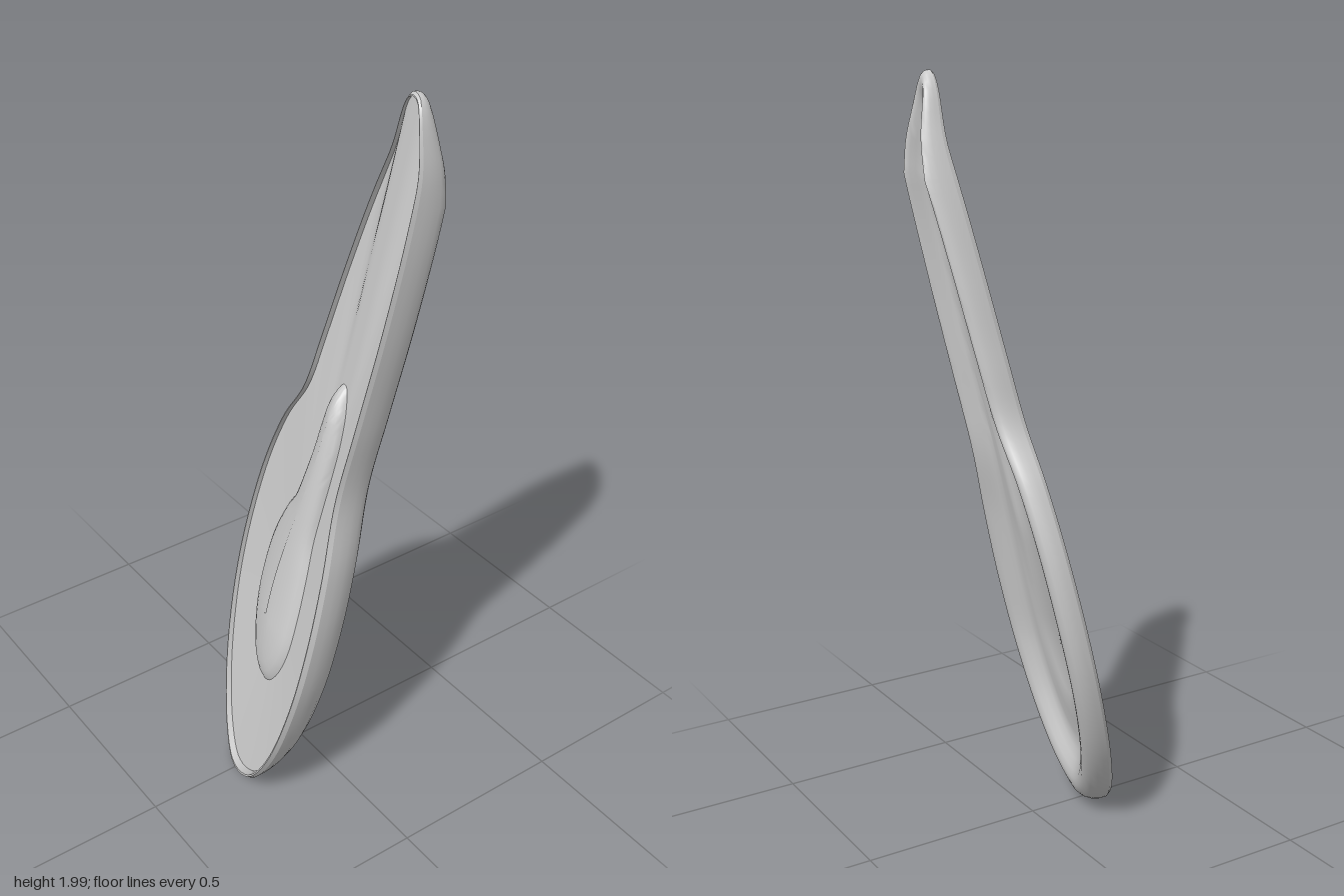
import * as THREE from 'three';
import { toCreasedNormals } from 'three/addons/utils/BufferGeometryUtils.js';

const SEGMENTS = 132;
const { clamp, lerp, smoothstep } = THREE.MathUtils;

// Pear outlines as [z, y], counter-clockwise seen from +x, starting at the bottom
const OUTER = [
  [-0.02, 0.005], [-0.12, 0.07], [-0.22, 0.24], [-0.275, 0.5], [-0.25, 0.8], [-0.18, 1.0],
  [-0.09, 1.14], [-0.05, 1.3], [-0.005, 1.5], [0.05, 1.7], [0.11, 1.86], [0.17, 1.99],
  [0.22, 1.99], [0.265, 1.87], [0.28, 1.7], [0.275, 1.45], [0.255, 1.2], [0.24, 1.0],
  [0.27, 0.8], [0.28, 0.6], [0.262, 0.4], [0.2, 0.19], [0.1, 0.05],
];
const BULGE = [
  [-0.01, 0.31], [-0.06, 0.34], [-0.11, 0.43], [-0.13, 0.54], [-0.115, 0.68], [-0.07, 0.79],
  [-0.02, 0.87], [0.005, 0.95], [0.025, 1.03], [0.04, 1.12], [0.06, 1.19], [0.09, 1.23],
  [0.11, 1.23], [0.135, 1.18], [0.145, 1.1], [0.14, 1.0], [0.13, 0.9], [0.122, 0.8],
  [0.128, 0.7], [0.13, 0.58], [0.12, 0.46], [0.085, 0.37], [0.04, 0.32],
];

function sample(points) {
  const curve = new THREE.CatmullRomCurve3(
    points.map(([z, y]) => new THREE.Vector3(0, y, z)), true, 'centripetal');
  return Array.from({ length: SEGMENTS }, (_, i) => curve.getPoint(i / SEGMENTS));
}

// Centre line of the pear: z at a height
function centreZ(y) {
  return 0.1 * smoothstep(y, 0.55, 1.15) + 0.09 * smoothstep(y, 1.05, 1.85);
}

// Ring shrunk towards the centre line, raised in x above the leaning back plane;
// the shell is deeper along its front side and thins out at the tip
function ring(outline, shrink, depth, low, high) {
  return outline.map((p) => {
    const spineY = clamp(p.y, low, high);
    const y = lerp(p.y, spineY, shrink);
    const z = lerp(p.z, centreZ(spineY), shrink);
    const side = 1 + 0.9 * (p.z - centreZ(p.y));
    const taper = 1 - 2.4 * clamp(p.y - 1.74, 0, 0.26);
    const tipBend = 0.025 * smoothstep(y, 1.8, 2);
    return [0.25 * y - 0.32 * z - 0.24 - tipBend + depth * side * taper, y, z];
  });
}

// Straight blend between two rings
function blend(from, to, t) {
  return from.map((p, i) => p.map((v, axis) => lerp(v, to[i][axis], t)));
}

function loft(rings, crease, reversed) {
  const index = [];
  for (let r = 0; r < rings.length - 1; r++) {
    for (let i = 0; i < SEGMENTS; i++) {
      const j = (i + 1) % SEGMENTS;
      const a = r * SEGMENTS + i, b = r * SEGMENTS + j;
      const c = b + SEGMENTS, d = a + SEGMENTS;
      if (reversed) index.push(a, c, b, a, d, c);
      else index.push(a, b, c, a, c, d);
    }
  }
  const geometry = new THREE.BufferGeometry();
  geometry.setAttribute('position', new THREE.Float32BufferAttribute(rings.flat(2), 3));
  geometry.setIndex(index);
  return toCreasedNormals(geometry, crease);
}

export function createModel() {
  const group = new THREE.Group();
  group.name = 'pearShell';
  const material = new THREE.MeshStandardMaterial({ color: 0xcccccc });
  const outer = sample(OUTER), bulge = sample(BULGE);
  const outerRing = ([k, d]) => ring(outer, k, d, 0.45, 1.74);
  const bulgeRing = ([k, d]) => ring(bulge, k, d, 0.52, 1.15);
  const add = (name, rings, crease, reversed = false) => {
    const mesh = new THREE.Mesh(loft(rings, crease, reversed), material);
    mesh.name = name;
    group.add(mesh);
  };

  // Thin lip standing around the back face
  add('backLip', [[0, 0.014], [0.022, 0], [0.035, 0], [0.04, 0.02]].map(outerRing), 0.5, true);

  // Outer wall, rounded crest, slope into the dish and the sunken pear-shaped floor
  const floorEdge = outerRing([0.46, 0.048]);
  const bulgeEdge = bulgeRing([0, 0.045]);
  add('dish', [
    ...[
      [0, 0.014], [0, 0.035], [0.012, 0.058], [0.04, 0.08], [0.08, 0.095], [0.13, 0.101],
      [0.18, 0.098], [0.23, 0.088], [0.29, 0.072], [0.35, 0.058], [0.41, 0.05],
    ].map(outerRing),
    floorEdge, blend(floorEdge, bulgeEdge, 0.5), bulgeEdge,
    ...[[0.12, 0.039], [0.3, 0.031], [0.6, 0.024], [1, 0.021]].map(bulgeRing),
  ], 1.1);

  // Back face, slightly hollow towards the middle
  const backEdge = outerRing([0.04, 0.02]);
  const bulgeBase = bulgeRing([0, 0.03]);
  add('backFace', [backEdge, blend(backEdge, bulgeBase, 0.5), bulgeBase], 0.6, true);

  // Pear-shaped bulge standing out of the back face
  add('backBulge', [
    [0, 0.03], [0.06, 0.022], [0.16, 0.013], [0.3, 0.006], [0.5, 0], [0.75, -0.005], [1, -0.007],
  ].map(bulgeRing), 1.1, true);

  return group;
}
